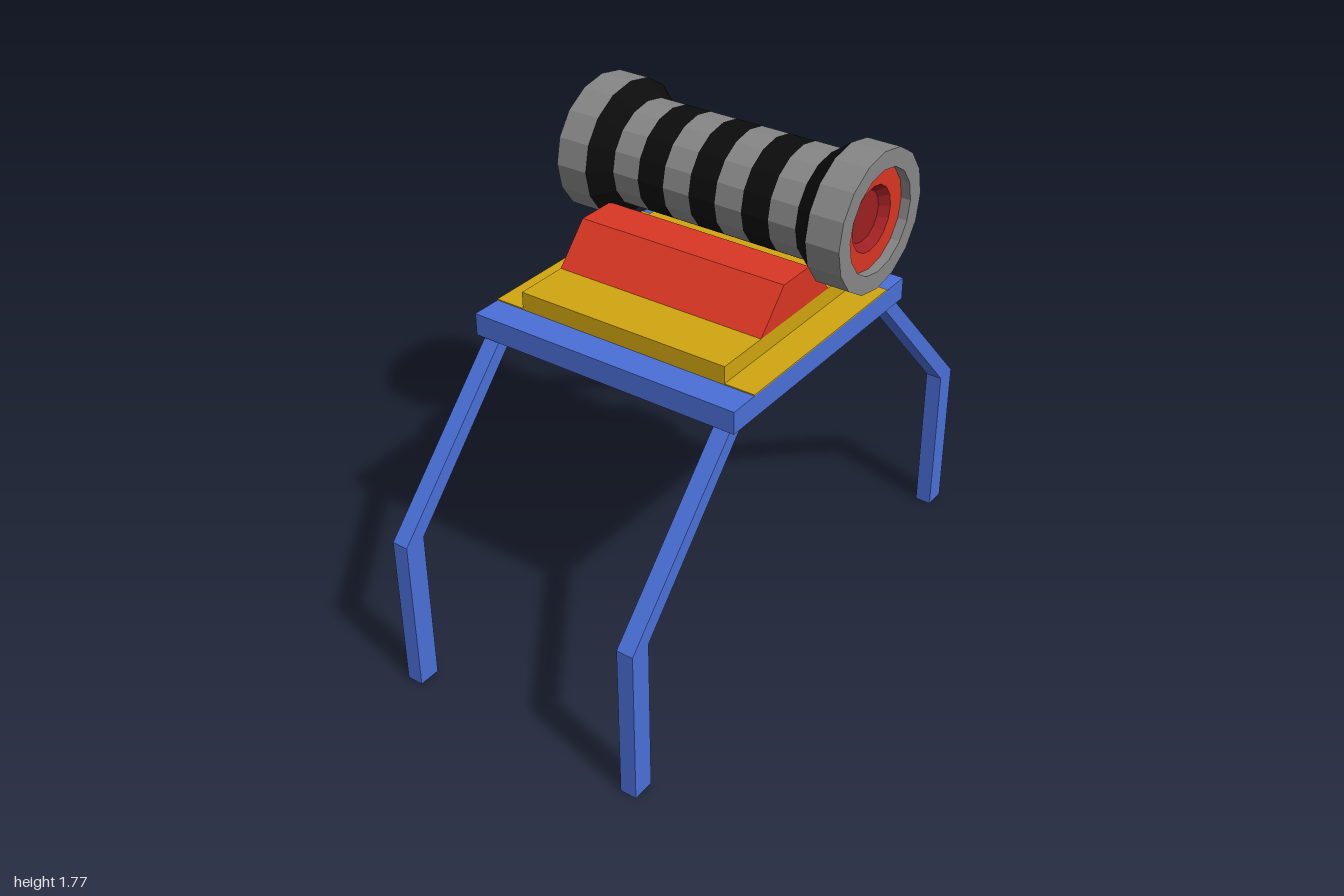
import * as THREE from 'three';

const material = (name, color) => {
  const m = new THREE.MeshStandardMaterial({ color, flatShading: true });
  m.name = name;
  return m;
};

export function createModel() {
  const blue = material('blue', 0x4a6fd6);
  const yellow = material('mustard', 0xcfa510);
  const red = material('red', 0xd93623);
  const darkRed = material('dark red', 0x9c2022);
  const grey = material('grey', 0x868686);
  const black = material('black', 0x0c0c0c);

  const model = new THREE.Group();
  model.name = 'cannonTable';

  const add = (parent, name, geometry, mat, x = 0, y = 0, z = 0) => {
    const mesh = new THREE.Mesh(geometry, mat);
    mesh.name = name;
    mesh.position.set(x, y, z);
    parent.add(mesh);
    return mesh;
  };

  // Outline in x/y extruded along z, centred on z = 0
  const prism = (points, depth) => {
    const shape = new THREE.Shape(points.map(([x, y]) => new THREE.Vector2(x, y)));
    return new THREE.ExtrudeGeometry(shape, { depth, bevelEnabled: false }).translate(0, 0, -depth / 2);
  };

  // Table top, painted panel and raised slab
  add(model, 'tableTop', new THREE.BoxGeometry(1.02, 0.08, 1.02), blue, 0, 1.16, 0);
  add(model, 'paintedPanel', new THREE.BoxGeometry(0.8, 0.004, 1.02), yellow, 0, 1.202, 0);
  add(model, 'slab', new THREE.BoxGeometry(0.8, 0.065, 0.8), yellow, 0, 1.2325, 0);

  // Wedge-shaped mount
  add(model, 'mount', prism([[-0.2, 1.265], [0.2, 1.265], [0.075, 1.4], [-0.075, 1.4]], 0.8), red);

  // Four bent legs
  const legPoints = [[0.92, 0], [1, 0], [1, 0.58], [0.49, 1.12], [0.42, 1.12], [0.92, 0.58]];
  for (const side of [0, Math.PI]) {
    for (const z of [-0.457, 0.457]) {
      add(model, 'leg', prism(legPoints, 0.06), blue, 0, 0, z).rotation.y = side;
    }
  }

  // Barrel: faceted rings turned about the z axis, slightly flattened
  const barrel = new THREE.Group();
  barrel.name = 'barrel';
  barrel.position.set(0.245, 1.533, 0);
  barrel.scale.y = 0.94;
  model.add(barrel);

  const turned = (points) =>
    new THREE.LatheGeometry(points.map(([r, z]) => new THREE.Vector2(r, z)), 16).rotateX(Math.PI / 2);

  // Seven alternating bands
  const band = 0.103;
  for (let i = 0; i < 7; i++) {
    const z = (i - 3.5) * band;
    add(barrel, 'band', turned([[0.2, z], [0.2, z + band]]), i % 2 ? black : grey);
  }

  // Flared collar, rim and recessed muzzle at both ends
  for (const turn of [0, Math.PI]) {
    const end = new THREE.Group();
    end.name = 'barrelEnd';
    end.rotation.y = turn;
    barrel.add(end);
    add(end, 'collar', turned([[0.2, 0.3605], [0.257, 0.432]]), black);
    add(end, 'rim', turned([[0.257, 0.432], [0.257, 0.554], [0.19, 0.554], [0.19, 0.52]]), grey);
    add(end, 'muzzleRing', turned([[0.19, 0.52], [0.12, 0.52]]), red);
    add(end, 'muzzle', turned([[0.12, 0.52], [0.094, 0.49], [0, 0.49]]), darkRed);
  }

  return model;
}
